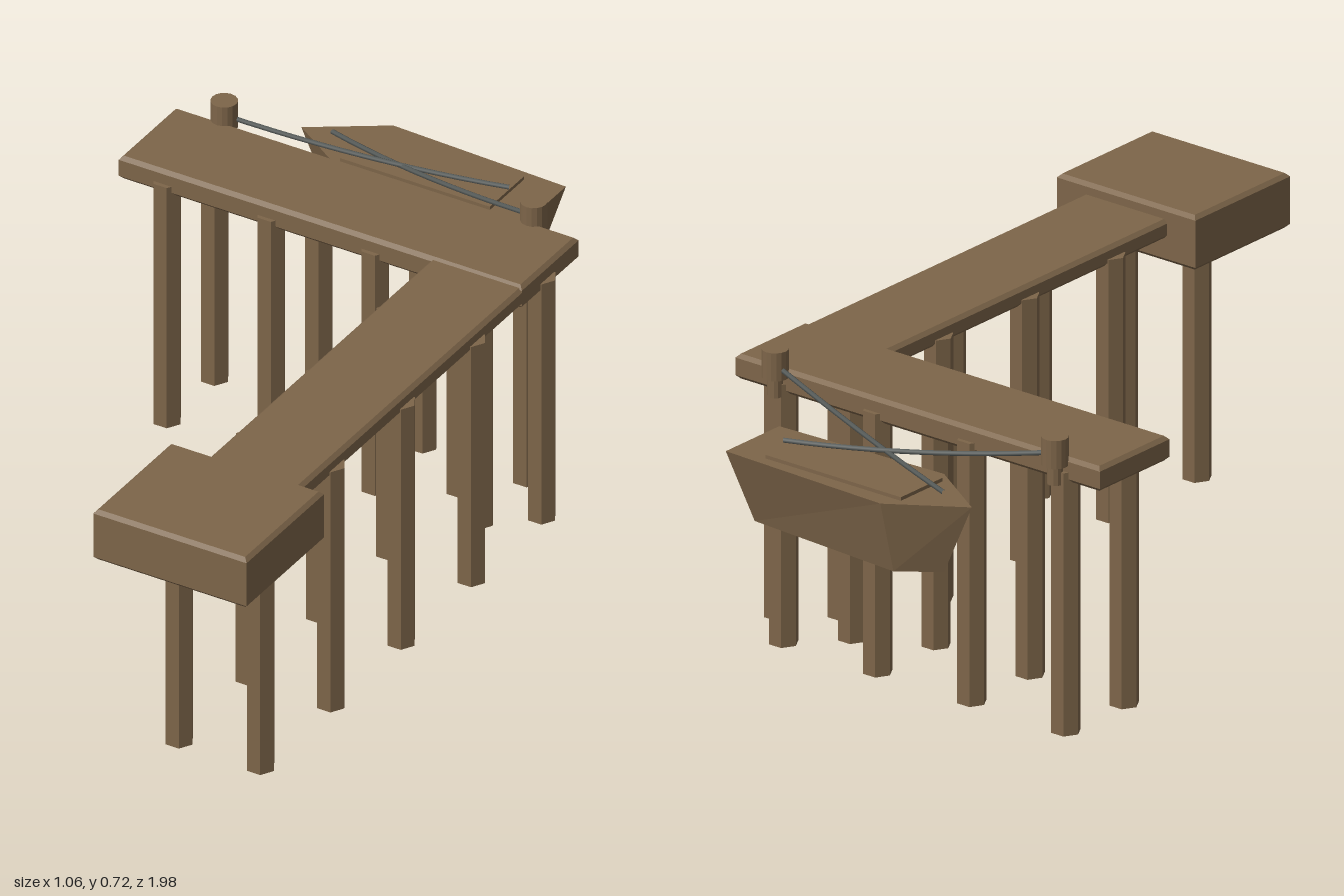
import * as THREE from 'three';

const wood = new THREE.MeshStandardMaterial({ color: 0x7d6549, flatShading: true });
wood.name = 'weathered wood';
const ropeMat = new THREE.MeshStandardMaterial({ color: 0x555a58 });
ropeMat.name = 'grey rope';

function add(parent, name, geometry, material = wood) {
  const m = new THREE.Mesh(geometry, material);
  m.name = name;
  parent.add(m);
  return m;
}

// Box given by its bounds, with chamfered top and bottom edges
function chamferBox(x0, x1, y0, y1, z0, z1, c = 0.009) {
  const s = new THREE.Shape();
  s.moveTo(x0 + c, -z1 + c);
  s.lineTo(x1 - c, -z1 + c);
  s.lineTo(x1 - c, -z0 - c);
  s.lineTo(x0 + c, -z0 - c);
  s.closePath();
  const g = new THREE.ExtrudeGeometry(s, {
    depth: y1 - y0 - 2 * c, bevelEnabled: true, bevelSize: c, bevelThickness: c, bevelSegments: 1,
  });
  g.rotateX(-Math.PI / 2);
  g.translate(0, y0 + c, 0);
  return g;
}

// Hull lofted between a keel outline and a gunwale outline, closed top and bottom
function hullGeometry(bottom, top, y0, y1) {
  const n = top.length, pos = [], idx = [];
  bottom.forEach(([x, z]) => pos.push(x, y0, z));
  top.forEach(([x, z]) => pos.push(x, y1, z));
  for (let i = 0; i < n; i++) {
    const j = (i + 1) % n;
    idx.push(i, j, n + j, i, n + j, n + i);
    if (i > 0 && i < n - 1) idx.push(0, i + 1, i, n, n + i, n + i + 1);
  }
  const g = new THREE.BufferGeometry();
  g.setAttribute('position', new THREE.Float32BufferAttribute(pos, 3));
  g.setIndex(idx);
  const flat = g.toNonIndexed();
  flat.computeVertexNormals();
  return flat;
}

// Pointed outline, counter-clockwise seen from above
function outline(bow, shoulder, stern, wide, narrow, zc) {
  return [[bow, zc], [shoulder, zc + wide], [stern, zc + narrow], [stern, zc - narrow], [shoulder, zc - wide]];
}

export function createModel() {
  const model = new THREE.Group();
  model.name = 'pier';

  // The whole pier is laid out square, then turned
  const pier = new THREE.Group();
  pier.name = 'pierLayout';
  pier.rotation.y = -Math.PI / 6;
  model.add(pier);

  // Decks
  add(pier, 'landingBlock', chamferBox(-0.063, 0.336, 0.56, 0.692, 0.614, 0.948));
  add(pier, 'walkway', chamferBox(0.018, 0.26, 0.618, 0.664, -0.38, 0.63));
  add(pier, 'pierHead', chamferBox(-0.79, 0.26, 0.61, 0.67, -0.61, -0.365));

  // Hexagonal piles in pairs
  const pileGeo = new THREE.CylinderGeometry(0.035, 0.035, 0.635, 6);
  pileGeo.rotateY(Math.PI / 6);
  const pile = (x, z) => add(pier, 'pile', pileGeo).position.set(x, 0.3175, z);
  for (let i = 0; i < 5; i++) {
    for (const x of [0.033, 0.245]) pile(x, 0.737 - i * 0.303);
  }
  for (let i = 0; i < 4; i++) {
    for (const z of [-0.385, -0.59]) pile(-0.676 + i * 0.271, z);
  }

  // Mooring bollards: stem and wider cap
  const stemGeo = new THREE.CylinderGeometry(0.018, 0.018, 0.06, 12);
  const capGeo = new THREE.CylinderGeometry(0.031, 0.031, 0.068, 16);
  for (const x of [-0.669, 0.137]) {
    add(pier, 'bollardStem', stemGeo).position.set(x, 0.635, -0.62);
    add(pier, 'bollardCap', capGeo).position.set(x, 0.685, -0.62);
  }

  // Boat
  const boat = new THREE.Group();
  boat.name = 'boat';
  pier.add(boat);
  add(boat, 'hull', hullGeometry(
    outline(-0.5, -0.41, 0.015, 0.068, 0.037, -0.804),
    outline(-0.577, -0.405, 0.055, 0.112, 0.094, -0.8), 0.405, 0.58));
  add(boat, 'boatDeck', new THREE.BoxGeometry(0.39, 0.009, 0.147)).position.set(-0.235, 0.584, -0.797);

  // Slack mooring ropes crossing over the boat
  const ropes = [
    [[-0.669, 0.68, -0.62], [-0.35, 0.61, -0.71], [-0.035, 0.6, -0.8]],
    [[0.137, 0.68, -0.62], [-0.22, 0.61, -0.71], [-0.496, 0.595, -0.8]],
  ];
  for (const pts of ropes) {
    const curve = new THREE.QuadraticBezierCurve3(...pts.map((p) => new THREE.Vector3(...p)));
    add(pier, 'mooringRope', new THREE.TubeGeometry(curve, 12, 0.006, 6), ropeMat);
  }
  return model;
}
